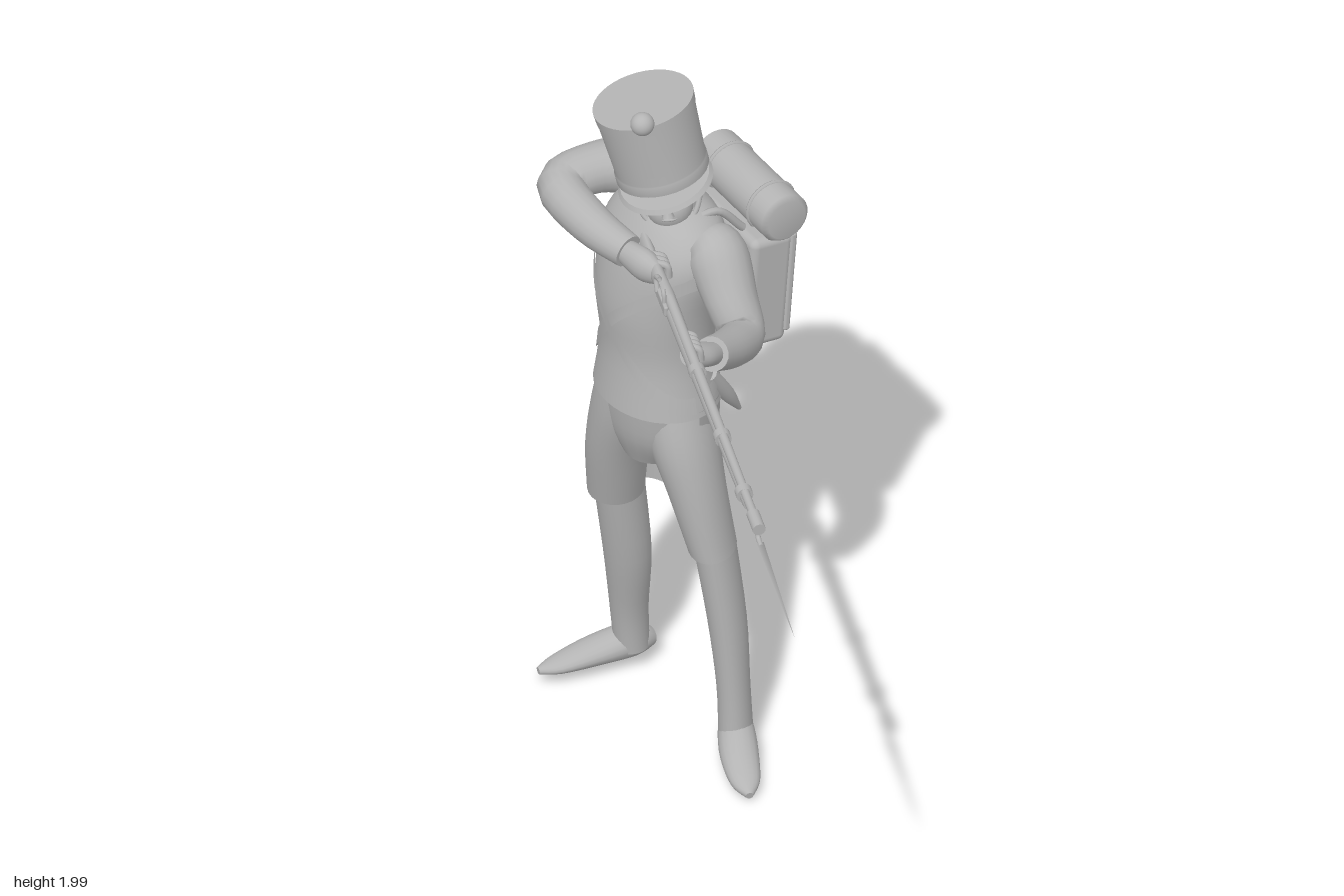
import * as THREE from 'three';
import { RoundedBoxGeometry } from 'three/addons/geometries/RoundedBoxGeometry.js';

const V = (x, y, z) => new THREE.Vector3(x, y, z);
const YAW = -0.863; // turn of the torso: its left side points to (+x, +z)

// Catmull-Rom value of number rows at position t (in row units)
function rowAt(rows, t) {
  const n = rows.length - 1;
  const i = Math.min(Math.floor(t), n - 1), f = t - i;
  const r = (k) => rows[Math.max(0, Math.min(n, k))];
  return rows[0].map((_, c) => {
    const [p, q, s, w] = [r(i - 1)[c], r(i)[c], r(i + 1)[c], r(i + 2)[c]];
    return q + 0.5 * f * (s - p + f * (2 * p - 5 * q + 4 * s - w + f * (3 * (q - s) + w - p)));
  });
}
function resample(rows, sub = 4) {
  const n = (rows.length - 1) * sub;
  return Array.from({ length: n + 1 }, (_, i) => rowAt(rows, i / sub));
}

// Skin over rings {c, u, v}; optional arc makes an open sheet
function loft(rings, { seg = 24, from = 0, to = Math.PI * 2, caps = true } = {}) {
  const pos = [], idx = [], open = to - from < 6.28, w = open ? seg + 1 : seg;
  for (const { c, u, v } of rings) {
    for (let j = 0; j < w; j++) {
      const a = from + (to - from) * j / seg;
      pos.push(...c.clone().addScaledVector(u, Math.cos(a)).addScaledVector(v, Math.sin(a)).toArray());
    }
  }
  for (let i = 0; i < rings.length - 1; i++) {
    for (let j = 0; j < seg; j++) {
      const a = i * w + j, b = i * w + (j + 1) % w;
      idx.push(a, b, a + w, b, b + w, a + w);
    }
  }
  if (caps && !open) {
    [0, rings.length - 1].forEach((r, top) => {
      const base = pos.length / 3;
      for (let j = 0; j < w; j++) pos.push(...pos.slice((r * w + j) * 3, (r * w + j) * 3 + 3));
      pos.push(...rings[r].c.toArray());
      for (let j = 0; j < w; j++) {
        const a = base + j, b = base + (j + 1) % w;
        if (top) idx.push(a, b, base + w); else idx.push(b, a, base + w);
      }
    });
  }
  const g = new THREE.BufferGeometry();
  g.setAttribute('position', new THREE.Float32BufferAttribute(pos, 3));
  g.setIndex(idx);
  g.computeVertexNormals();
  return g;
}

// Horizontal elliptical ring from a row [x, y, z, halfWidth, halfDepth]
const flatRing = (yaw) => ([x, y, z, a, b]) => ({
  c: V(x, y, z),
  u: V(Math.cos(yaw) * a, 0, -Math.sin(yaw) * a),
  v: V(-Math.sin(yaw) * b, 0, -Math.cos(yaw) * b),
});
const column = (rows, yaw = 0, opts) => loft(resample(rows).map(flatRing(yaw)), opts);

// Limb whose rings follow the path of rows [x, y, z, radiusSide, radiusUp]
function limb(rows, sub = 4) {
  const rs = resample(rows, sub), p = rs.map((r) => V(r[0], r[1], r[2]));
  return loft(rs.map((r, i) => {
    const t = p[Math.min(i + 1, p.length - 1)].clone().sub(p[Math.max(i - 1, 0)]).normalize();
    const side = V(0, 1, 0).cross(t).normalize();
    return { c: p[i], u: side.clone().multiplyScalar(r[3]), v: t.clone().cross(side).multiplyScalar(r[4]) };
  }), { seg: 18 });
}

export function createModel() {
  const model = new THREE.Group();
  const grey = new THREE.MeshStandardMaterial({ color: 0xb4b4b4, side: THREE.DoubleSide });
  grey.name = 'plain grey';
  const add = (name, geo, pos = [0, 0, 0], parent = model, rot = [0, 0, 0], scale = [1, 1, 1]) => {
    const m = new THREE.Mesh(geo, grey);
    m.name = name;
    m.position.set(...pos); m.rotation.set(...rot); m.scale.set(...scale);
    parent.add(m);
    return m;
  };
  const group = (name, pos, rot = [0, 0, 0]) => {
    const g = new THREE.Group();
    g.name = name; g.position.set(...pos); g.rotation.set(...rot);
    model.add(g);
    return g;
  };
  const ball = (r) => new THREE.SphereGeometry(r, 24, 16);
  const cyl = (a, b, h, n = 24) => new THREE.CylinderGeometry(a, b, h, n);
  const tube = (pts, r) => new THREE.TubeGeometry(new THREE.CatmullRomCurve3(pts.map((p) => V(...p))), 24, r, 8);

  // Jacket, pelvis and collar
  const torso = [[-.135, 1.05, -.625, .19, .155], [-.135, 1.2, -.625, .168, .14], [-.14, 1.35, -.63, .185, .145],
    [-.12, 1.5, -.64, .205, .14], [-.105, 1.58, -.65, .17, .115], [-.1, 1.63, -.645, .08, .075]];
  add('jacket', column(torso, YAW, { seg: 36 }));
  add('pelvis', column([[-.14, .86, -.61, .08, .08], [-.14, .95, -.62, .15, .12], [-.135, 1.07, -.625, .175, .145]], YAW));
  add('collar', column([[-.1, 1.59, -.64, .08, .08], [-.1, 1.645, -.63, .066, .068]]));

  // Cross belts wrapped around the jacket
  for (const phase of [0, Math.PI]) {
    const edge = (th, off) => {
      const y = 1.29 + off + .2 * Math.cos(th - phase);
      let t = 0;
      while (t < 5 && rowAt(torso, t)[1] < y) t += .02;
      const { c, u, v } = flatRing(YAW)(rowAt(torso, Math.min(t, 5)));
      return c.addScaledVector(u, 1.03 * Math.cos(th)).addScaledVector(v, 1.03 * Math.sin(th));
    };
    const strip = new THREE.PlaneGeometry(1, 1, 60, 1), p = strip.attributes.position;
    for (let i = 0; i < p.count; i++) {
      const q = edge((p.getX(i) + .5) * Math.PI * 2, p.getY(i) * .045);
      p.setXYZ(i, q.x, q.y, q.z);
    }
    strip.computeVertexNormals();
    add('crossBelt', strip);
  }

  // Coat tails hanging at the back
  [[.02, .49, .57], [.51, .95, .6]].forEach(([a, b, y]) => add('coatTail', column(
    [[-.11, y, -.7, .155, .06], [-.12, .8, -.67, .165, .11], [-.135, 1.07, -.625, .188, .152]],
    YAW, { from: a * Math.PI, to: b * Math.PI })));

  // Legs: breeches to the knee, gaiters and shoes below
  add('leftBreeches', column([[.022, .625, -.53, .062, .09], [-.02, .8, -.535, .076, .094],
    [-.06, .95, -.56, .092, .11], [-.085, 1.08, -.6, .09, .12]]));
  add('leftGaiter', column([[.085, .05, -.515, .045, .058], [.078, .2, -.52, .043, .058], [.06, .4, -.53, .05, .07],
    [.025, .65, -.53, .055, .075]]));
  add('rightBreeches', column([[-.262, .625, -.745, .074, .088], [-.25, .8, -.705, .084, .105],
    [-.22, .95, -.675, .095, .125], [-.19, 1.08, -.65, .1, .13]]));
  add('rightGaiter', column([[-.235, .07, -.83, .046, .052], [-.24, .2, -.82, .05, .058], [-.238, .4, -.78, .062, .065],
    [-.255, .65, -.745, .066, .075]]));
  add('leftShoe', limb([[.07, .045, -.575, .03, .03], [.085, .055, -.52, .047, .05], [.11, .045, -.42, .05, .038],
    [.14, .03, -.33, .038, .022], [.158, .022, -.285, .01, .01]]));
  add('rightShoe', limb([[-.195, .07, -.87, .03, .025], [-.235, .08, -.835, .047, .045], [-.32, .07, -.785, .05, .035],
    [-.41, .057, -.725, .036, .02], [-.455, .052, -.695, .01, .01]]));

  // Arms and hands
  add('leftSleeve', limb([[.0, 1.57, -.55, .06, .06], [.035, 1.545, -.525, .08, .078], [.08, 1.455, -.465, .07, .068],
    [.118, 1.385, -.41, .06, .058], [.105, 1.42, -.3, .055, .053], [.075, 1.475, -.19, .047, .046]]));
  add('leftHand', limb([[.08, 1.47, -.2, .03, .03], [.055, 1.5, -.15, .04, .032], [.03, 1.525, -.11, .03, .03]]));
  add('rightSleeve', limb([[-.16, 1.57, -.77, .07, .06], [-.225, 1.59, -.81, .08, .075], [-.32, 1.6, -.775, .07, .066],
    [-.395, 1.59, -.695, .064, .062], [-.3, 1.57, -.575, .056, .055], [-.19, 1.55, -.495, .045, .045]]));
  add('rightHand', limb([[-.2, 1.55, -.5, .03, .032], [-.14, 1.545, -.45, .036, .045], [-.1, 1.54, -.42, .02, .03]]));
  const grip = (name, x, y, z, n) => {
    for (let i = 0; i < n; i++) {
      const d = i * .018;
      add(name, tube([[x + .04 + d * .4, y - .02, z + d], [x + .035 + d * .4, y + .015, z + d],
        [x + .005 + d * .4, y + .022, z + d]], .01));
    }
  };
  grip('leftFinger', .0, 1.54, -.15, 4);
  grip('rightFinger', -.13, 1.545, -.47, 3);

  // Head with face
  const head = group('head', [-.11, 1.68, -.625], [0, .15, .12]);
  add('skull', ball(.1), [0, .02, 0], head, [0, 0, 0], [.85, 1.05, .98]);
  add('jaw', ball(.07), [0, -.045, .03], head, [0, 0, 0], [.88, .9, .9]);
  add('nose', new THREE.ConeGeometry(.017, .05, 8), [0, -.005, .1], head, [-.25, 0, 0]);
  add('mouth', ball(.02), [0, -.05, .083], head, [0, 0, 0], [1.2, .35, .6]);
  add('chin', ball(.022), [0, -.083, .07], head);
  add('neck', cyl(.055, .06, .12), [0, -.08, -.02], head);
  for (const s of [1, -1]) {
    add('ear', ball(.022), [s * .085, -.005, -.005], head, [0, 0, 0], [.4, 1.2, .8]);
    add('eye', ball(.012), [s * .033, .015, .085], head);
    add('chinStrap', tube([[s * .1, .06, 0], [s * .088, 0, .02], [s * .06, -.07, .05], [0, -.105, .065]], .007), [0, 0, 0], head);
  }

  // Tall hat with peak, badge and pompon
  const hat = group('hat', [-.12, 1.73, -.615], [0, 0, .235]);
  const P = (x, y) => new THREE.Vector2(x, y);
  add('hatBody', new THREE.LatheGeometry([P(.117, 0), P(.122, 0), P(.122, .028), P(.119, .03), P(.129, .19)], 40), [0, 0, 0], hat);
  add('hatTopBand', cyl(.133, .131, .03, 40), [0, .205, 0], hat);
  add('peak', cyl(.118, .126, .012, 32), [.01, -.008, .034], hat, [.15, 0, 0]);
  add('hatBadge', new THREE.CylinderGeometry(.132, .126, .1, 10, 1, true, -.1, .5), [0, .11, 0], hat);
  add('pompon', ball(.031), [.025, .238, .135], hat);

  // Knapsack with rolled blanket
  const pack = group('knapsack', [.04, 1.355, -.775]);
  pack.rotation.set(-.08, YAW, 0, 'YXZ');
  add('packBody', new RoundedBoxGeometry(.35, .33, .125, 3, .022), [0, 0, 0], pack);
  add('packFlap', new RoundedBoxGeometry(.355, .3, .02, 2, .008), [0, .015, -.06], pack);
  const roll = [P(0, -.18), P(.055, -.18), P(.069, -.168), P(.069, .168), P(.055, .18), P(0, .18)];
  add('blanketRoll', new THREE.LatheGeometry(roll, 28), [0, .215, -.03], pack, [0, 0, Math.PI / 2]);
  for (const x of [-.1, .1]) {
    add('rollStrap', new THREE.TorusGeometry(.068, .006, 6, 28), [x, .215, -.03], pack, [0, Math.PI / 2, 0]);
    add('shoulderStrap', tube([[x, .17, .05], [x, .245, .14], [x, .2, .25], [x * 1.1, .05, .3]], .011), [0, 0, 0], pack);
  }

  // Cartridge pouch and scabbard
  const pouch = group('cartridgePouch', [-.12, 1.02, -.845], [-.08, -.25, .08]);
  add('pouchBox', new RoundedBoxGeometry(.18, .14, .07, 2, .015), [0, 0, 0], pouch);
  add('pouchFlap', new RoundedBoxGeometry(.19, .12, .02, 2, .008), [0, .018, -.035], pouch);
  add('scabbard', limb([[.01, 1.14, -.56, .02, .02], [.045, 1.04, -.62, .02, .02], [.07, .965, -.665, .006, .006]]));

  // Musket, its own +z along the barrel
  const gun = group('musket', [-.17, 1.565, -.58]);
  gun.lookAt(.33, 1.527, .63);
  const along = [Math.PI / 2, 0, 0];
  add('stock', limb([[0, -.035, 0, .018, .055], [0, -.022, .13, .018, .036], [0, -.006, .24, .018, .022],
    [0, -.004, .34, .02, .024], [0, -.004, .8, .016, .019], [0, 0, 1.19, .013, .014]]), [0, 0, 0], gun);
  add('barrel', cyl(.011, .014, .99, 14), [0, .012, .815], gun, along);
  add('ramrod', cyl(.004, .004, .6, 8), [0, -.024, .7], gun, along);
  for (const z of [.62, .9, 1.14]) add('barrelBand', cyl(.022, .022, .025, 16), [0, .002, z], gun, along);
  add('lockPlate', new RoundedBoxGeometry(.012, .03, .11, 2, .005), [-.02, .005, .31], gun);
  add('hammer', tube([[-.024, .01, .28], [-.024, .045, .265], [-.022, .06, .295]], .007), [0, 0, 0], gun);
  add('frizzen', tube([[-.02, .015, .34], [-.02, .04, .335], [-.02, .05, .325]], .006), [0, 0, 0], gun);
  add('triggerGuard', new THREE.TorusGeometry(.024, .004, 6, 20), [0, -.032, .25], gun, [0, Math.PI / 2, 0], [1.6, 1, 1]);
  add('bayonetSocket', cyl(.017, .017, .07, 14), [0, .01, 1.275], gun, along);
  add('bayonetArm', tube([[0, 0, 1.29], [0, -.022, 1.3], [0, -.028, 1.33]], .007), [0, 0, 0], gun);
  add('bayonetBlade', new THREE.ConeGeometry(.011, .39, 3), [0, -.035, 1.515], gun, [Math.PI / 2 + .035, 0, 0]);

  return model;
}
